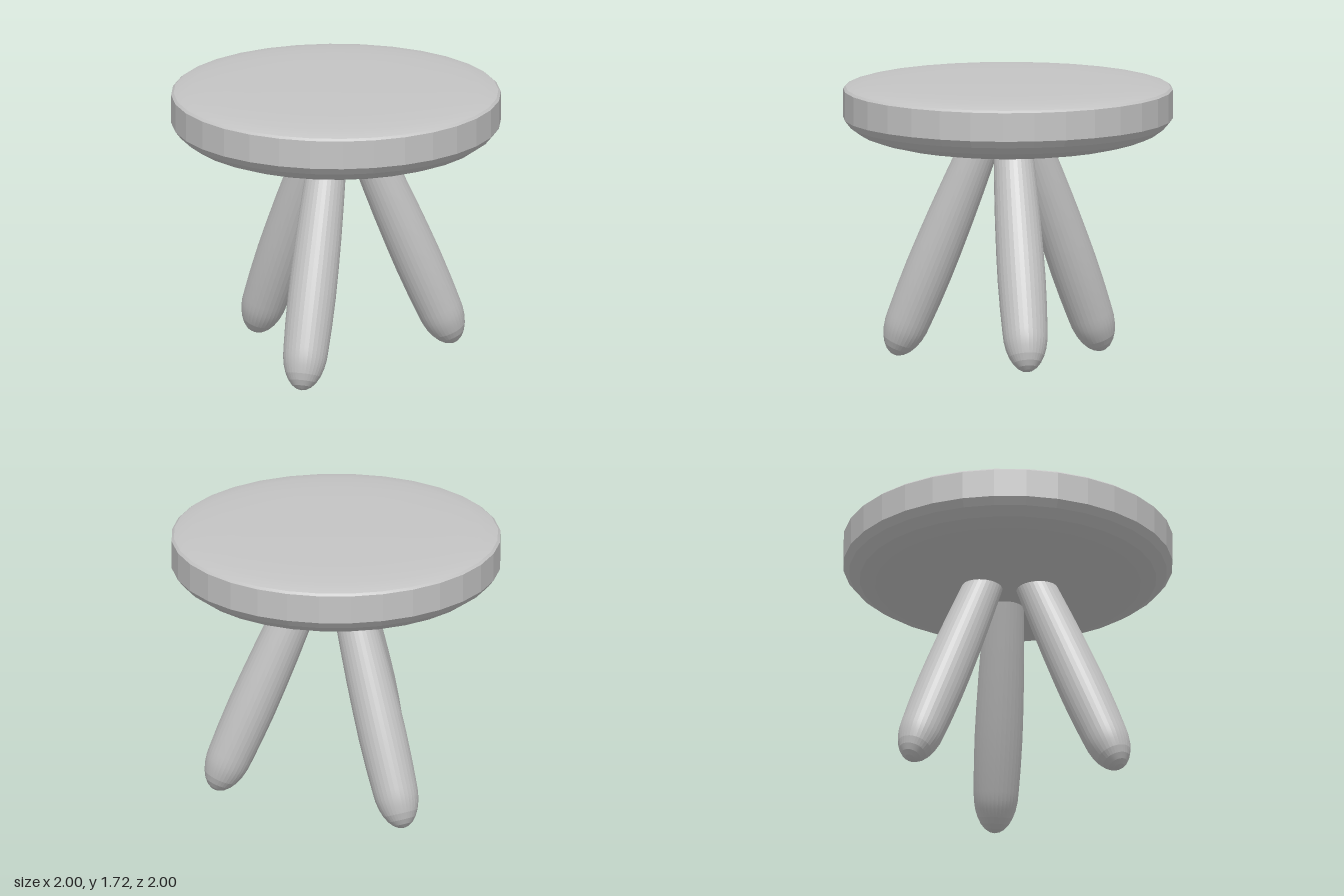
import * as THREE from 'three';
import { toCreasedNormals } from 'three/addons/utils/BufferGeometryUtils.js';

const SIDES = 32;

// Turned part from [radius, height] pairs, bottom to top, with crisp facets
function turned(profile, material, name) {
  const points = profile.map(([r, y]) => new THREE.Vector2(r, y));
  const geometry = toCreasedNormals(new THREE.LatheGeometry(points, SIDES), 0.15);
  const mesh = new THREE.Mesh(geometry, material);
  mesh.name = name;
  return mesh;
}

export function createModel() {
  const model = new THREE.Group();
  model.name = 'stool';
  const grey = new THREE.MeshStandardMaterial({ color: 0xc4c4c4 });
  grey.name = 'grey';

  // Round seat: shallow bowl underneath, straight rim, softly domed top
  model.add(turned([
    [0, 1.295], [0.15, 1.298], [0.3, 1.305], [0.45, 1.316], [0.6, 1.333],
    [0.72, 1.353], [0.82, 1.378], [0.9, 1.408], [0.965, 1.455], [1, 1.5],
    [1, 1.675], [0.985, 1.688], [0.95, 1.698], [0.88, 1.708], [0.75, 1.718],
    [0.58, 1.725], [0, 1.725],
  ], grey, 'seat'));

  // Leg profile: rounded foot, slight swell, narrowing towards the seat
  const legProfile = [];
  const footLength = 0.25, footRadius = 0.137;
  for (let i = 0; i <= 7; i++) {
    const a = (i / 7) * Math.PI / 2;
    legProfile.push([footRadius * Math.sin(a), footLength * (1 - Math.cos(a))]);
  }
  legProfile.push([0.143, 0.4], [0.146, 0.58], [0.144, 0.75], [0.139, 0.95],
    [0.131, 1.15], [0.121, 1.35], [0.115, 1.46], [0, 1.46]);

  // Three splayed legs; the side pair reaches slightly lower
  const legs = [
    ['leftLeg', 0, 0, 0.05],
    ['frontLeg', -120, 0, 0.01],
    ['backLeg', 120, 0.015, 0.01],
  ];
  for (const [name, angle, shift, footY] of legs) {
    const pivot = new THREE.Group();
    pivot.name = name;
    const leg = turned(legProfile, grey, name + 'Post');
    leg.rotation.z = THREE.MathUtils.degToRad(23);
    leg.position.set(0.738, footY, 0);
    pivot.add(leg);
    pivot.rotation.y = THREE.MathUtils.degToRad(angle);
    pivot.position.x = shift;
    model.add(pivot);
  }
  return model;
}
